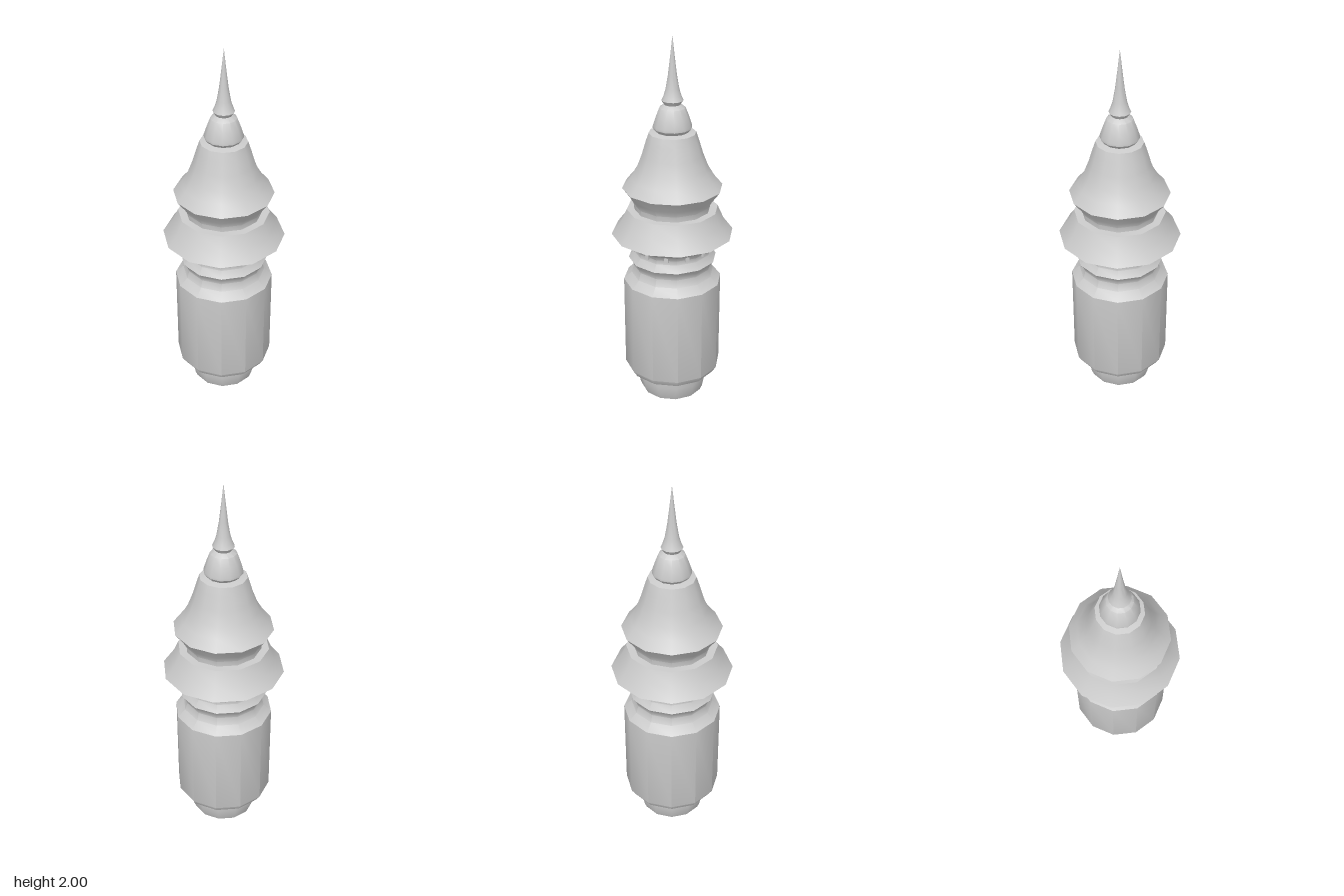
import * as THREE from 'three';
import { toCreasedNormals } from 'three/addons/utils/BufferGeometryUtils.js';

const SIDES = 12;
const material = new THREE.MeshStandardMaterial({ color: 0xcccccc, side: THREE.DoubleSide });

// Twelve-sided turned part from [radius, height] pairs, listed bottom to top
function turned(name, profile) {
  const points = profile.map(([r, y]) => new THREE.Vector2(r, y));
  const geometry = toCreasedNormals(new THREE.LatheGeometry(points, SIDES), 0.62);
  const mesh = new THREE.Mesh(geometry, material);
  mesh.name = name;
  return mesh;
}

export function createModel() {
  const model = new THREE.Group();
  model.name = 'spireTower';

  // Foot with a shallow recess underneath
  model.add(turned('foot', [
    [0, 0.04], [0.155, 0.04], [0.16, 0], [0.17, 0], [0.182, 0.03], [0.192, 0.08], [0.195, 0.135],
  ]));

  // Main barrel with a chamfered lower edge
  model.add(turned('barrel', [
    [0.19, 0.13], [0.24, 0.135], [0.262, 0.17], [0.262, 0.685],
  ]));

  // Waisted neck with a raised ring
  model.add(turned('neck', [
    [0.262, 0.685], [0.22, 0.725], [0.207, 0.765], [0.215, 0.79], [0.234, 0.815],
    [0.207, 0.852], [0.207, 0.875], [0.224, 0.9],
  ]));

  // Wide eave and its flat upper rim
  model.add(turned('eave', [
    [0.224, 0.9], [0.25, 0.92], [0.322, 0.955], [0.272, 1.02], [0.24, 1.092], [0.2, 1.092],
  ]));

  // Small studs, one on each side of the neck
  const studs = new THREE.Group();
  studs.name = 'neckStuds';
  const studGeometry = new THREE.BoxGeometry(0.02, 0.025, 0.02);
  for (let i = 0; i < SIDES; i++) {
    const angle = ((i + 0.5) / SIDES) * Math.PI * 2;
    const stud = new THREE.Mesh(studGeometry, material);
    stud.name = 'neckStud';
    stud.position.set(Math.sin(angle) * 0.204, 0.882, Math.cos(angle) * 0.204);
    stud.rotation.y = angle;
    studs.add(stud);
  }
  model.add(studs);

  // Flared collar carrying the bell roof
  model.add(turned('collar', [
    [0.2, 1.092], [0.201, 1.12], [0.22, 1.155], [0.262, 1.212],
  ]));
  model.add(turned('bellRoof', [
    [0.262, 1.212], [0.218, 1.265], [0.185, 1.32], [0.158, 1.39], [0.137, 1.46],
    [0.122, 1.505], [0.085, 1.512],
  ]));

  // Small upper cap
  model.add(turned('upperCap', [
    [0.085, 1.512], [0.1, 1.53], [0.1, 1.542], [0.084, 1.59], [0.067, 1.635], [0.042, 1.652],
  ]));

  // Tapering spire
  model.add(turned('spire', [
    [0.042, 1.652], [0.056, 1.673], [0.046, 1.695], [0.035, 1.73], [0.023, 1.8],
    [0.011, 1.9], [0, 2],
  ]));

  return model;
}
